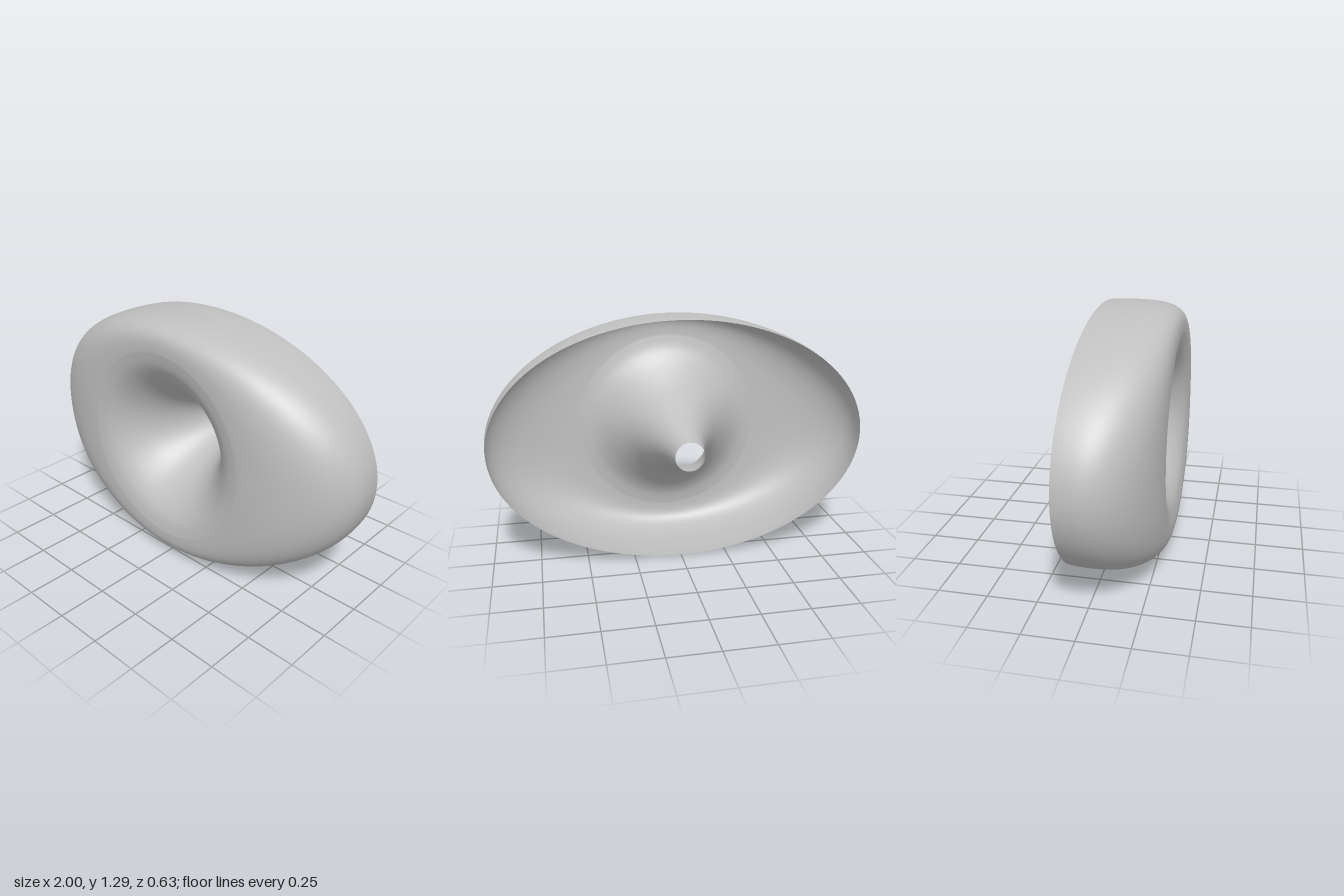
import * as THREE from 'three';

const CENTRE_Y = 0.645, HALF_W = 1, HALF_H = 0.645;
const CREST_R = 0.5, CREST_Z = 0.315, RIM_Z = -0.095;

// Throat profile (radius, z), from the small round opening to the crest of the lip
const throat = new THREE.SplineCurve([
  [0.075, -0.315], [0.098, -0.2], [0.13, -0.095], [0.18, 0.02],
  [0.25, 0.14], [0.34, 0.24], [0.42, 0.295], [CREST_R, CREST_Z],
].map(([r, z]) => new THREE.Vector2(r, z)));

// Full profile at one angle: round throat, rolled lip, short skirt
function profileAt(angle) {
  const c = Math.cos(angle), s = Math.sin(angle);
  const outer = 1 / Math.hypot(c / HALF_W, s / HALF_H);
  // the roll is an ellipse at the sides and squarer at top and bottom
  const n = 2 + 1.5 * (HALF_W - outer) / (HALF_W - HALF_H);
  const points = throat.getPoints(48);
  for (let i = 1; i <= 28; i++) {
    const a = (i / 28) * Math.PI / 2;
    const u = Math.sin(a), v = i === 28 ? 0 : Math.cos(a);
    const k = 1 / Math.pow(Math.pow(u, n) + Math.pow(v, n), 1 / n);
    points.push(new THREE.Vector2(CREST_R + (outer - CREST_R) * u * k, CREST_Z * v * k));
  }
  for (let i = 1; i <= 5; i++) {
    const t = i / 5;
    points.push(new THREE.Vector2(outer * (1 - 0.008 * t * t), RIM_Z * t));
  }
  return points;
}

// Sweep the profile around the axis
function hornGeometry(segments) {
  const positions = [], index = [];
  let count = 0;
  for (let j = 0; j < segments; j++) {
    const angle = (j / segments) * Math.PI * 2;
    const profile = profileAt(angle);
    count = profile.length;
    for (const p of profile) {
      positions.push(p.x * Math.cos(angle), p.x * Math.sin(angle), p.y);
    }
  }
  for (let j = 0; j < segments; j++) {
    const a = j * count, b = ((j + 1) % segments) * count;
    for (let i = 0; i < count - 1; i++) {
      index.push(a + i, a + i + 1, b + i, a + i + 1, b + i + 1, b + i);
    }
  }
  const geometry = new THREE.BufferGeometry();
  geometry.setAttribute('position', new THREE.Float32BufferAttribute(positions, 3));
  geometry.setIndex(index);
  geometry.computeVertexNormals();
  return geometry;
}

export function createModel() {
  const group = new THREE.Group();
  group.name = 'ellipticalHorn';
  const grey = new THREE.MeshStandardMaterial({ color: 0xc0c0c0, side: THREE.DoubleSide });
  grey.name = 'light grey';

  // One continuous open shell
  const horn = new THREE.Mesh(hornGeometry(160), grey);
  horn.name = 'hornShell';
  horn.position.y = CENTRE_Y;
  group.add(horn);
  return group;
}
